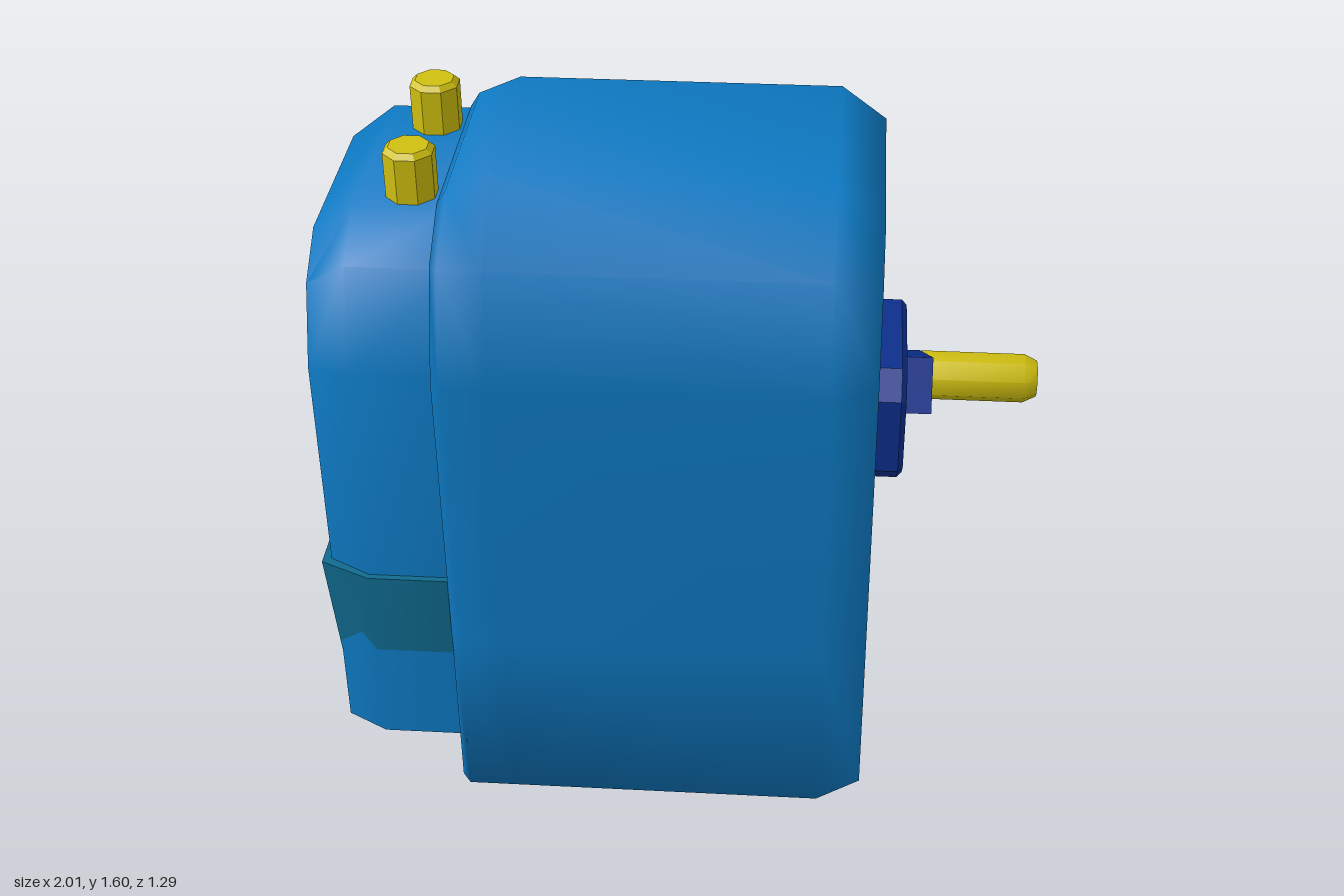
import * as THREE from 'three';
import { toCreasedNormals } from 'three/addons/utils/BufferGeometryUtils.js';

const mat = (name, color) => Object.assign(new THREE.MeshStandardMaterial({ color }), { name });

// Closed solid through rings of equal point count; smooth normals, creased if asked
function loft(rings, crease) {
  const n = rings[0].length, pos = rings.flat(), idx = [];
  const last = rings.length - 1;
  for (let r = 0; r < last; r++)
    for (let i = 0; i < n; i++) {
      const a = r * n + i, b = r * n + (i + 1) % n;
      idx.push(a, b, a + n, b, b + n, a + n);
    }
  for (const r of [0, last]) {
    const c = pos.length;
    pos.push([0, 1, 2].map(k => rings[r].reduce((s, p) => s + p[k], 0) / n));
    for (let i = 0; i < n; i++) {
      const a = r * n + i, b = r * n + (i + 1) % n;
      if (r) idx.push(c, a, b); else idx.push(c, b, a);
    }
  }
  // turn the faces outward
  const v = idx.map(i => new THREE.Vector3(...pos[i]));
  let volume = 0;
  for (let i = 0; i < v.length; i += 3) volume += v[i].dot(v[i + 1].clone().cross(v[i + 2]));
  if (volume < 0) idx.reverse();
  const g = new THREE.BufferGeometry();
  g.setAttribute('position', new THREE.Float32BufferAttribute(pos.flat(), 3));
  g.setIndex(idx);
  g.computeVertexNormals();
  return crease ? toCreasedNormals(g, crease) : g;
}

// Upright arched section at x, given its right half from bottom to top
const arch = (x, zc, half) => [
  ...half.map(([z, y]) => [x, y, zc + z]),
  ...[...half].reverse().map(([z, y]) => [x, y, zc - z]),
];

// Level section of the shavings bin at height y, shrunk by d
const tray = (y, d) => [
  [-0.58, 0.465 - d], [-0.78, 0.465 - d], [-0.9 + d, 0.41 - d],
  [-0.9 + d, -0.41 + d], [-0.78, -0.465 + d], [-0.58, -0.465 + d],
].map(([x, z]) => [x, y, 0.075 + z]);

// Rectangle with cut corners, extruded along x from x0
function plate(w, h, cut, depth, bevel) {
  const x = w / 2 - bevel, y = h / 2 - bevel;
  const s = new THREE.Shape([
    [x, -y + cut], [x, y - cut], [x - cut, y], [-x + cut, y],
    [-x, y - cut], [-x, -y + cut], [-x + cut, -y], [x - cut, -y],
  ].map(p => new THREE.Vector2(...p)));
  return new THREE.ExtrudeGeometry(s, {
    depth: depth - bevel, bevelEnabled: bevel > 0, bevelThickness: bevel, bevelSize: bevel, bevelSegments: 1,
  }).rotateY(Math.PI / 2);
}

export function createModel() {
  const blue = mat('body blue', 0x0d79c2);
  const navy = mat('dark blue', 0x0d2f8c);
  const teal = mat('bin teal', 0x0f6a8e);
  const yellow = mat('yellow', 0xcfbf10);

  const model = new THREE.Group();
  model.name = 'crankSharpener';
  const body = new THREE.Group();
  body.name = 'sharpener';
  body.rotation.y = -0.384;
  model.add(body);
  const add = (name, geometry, material, x = 0, y = 0, z = 0) => {
    const m = new THREE.Mesh(geometry, material);
    m.name = name;
    m.position.set(x, y, z);
    body.add(m);
    return m;
  };

  // Main housing, bevelled towards both ends
  const full = [[0.485, 0], [0.485, 0.45], [0.485, 1.17], [0.415, 1.43], [0.24, 1.575]];
  const seam = [[0.455, 0], [0.455, 0.45], [0.455, 1.17], [0.37, 1.41], [0.24, 1.495]];
  const seamMid = [[0.485, 0], [0.485, 0.45], [0.485, 1.17], [0.405, 1.42], [0.24, 1.53]];
  const crankEnd = [[0.415, 0], [0.415, 0.45], [0.415, 1.17], [0.35, 1.38], [0.25, 1.49]];
  add('mainHousing', loft([
    arch(-0.592, 0.085, seam), arch(-0.57, 0.085, seamMid), arch(-0.47, 0.085, full),
    arch(0.285, 0.085, full), arch(0.39, 0.085, crankEnd),
  ]), blue);

  // Sharpening end behind the seam
  const rear = [[0.45, 0.12], [0.45, 0.6], [0.45, 1.17], [0.37, 1.4], [0.25, 1.48]];
  const rearEnd = [[0.395, 0.12], [0.395, 0.6], [0.395, 1.15], [0.33, 1.33], [0.22, 1.41]];
  add('rearHousing', loft([
    arch(-0.56, 0.075, rear), arch(-0.78, 0.075, rear), arch(-0.88, 0.075, rearEnd),
  ], 0.9), blue);
  add('pencilHole', new THREE.CylinderGeometry(0.055, 0.055, 0.008, 20).rotateZ(Math.PI / 2), blue, -0.88, 1.09, 0.19);

  // Shavings bin and its base
  add('shavingsBin', loft([tray(0.15, 0.03), tray(0.61, 0)], 0.9), teal);
  add('binBase', loft([tray(0.04, 0.12), tray(0.08, 0.065), tray(0.15, 0.03)], 0.9), navy);

  // Top buttons
  for (const side of [-1, 1]) {
    const button = plate(0.11, 0.11, 0.025, 0.16, 0.012).rotateZ(Math.PI / 2);
    add('topButton', button, yellow, -0.66, 1.44, 0.083 + side * 0.167);
  }

  // Crank: mounting plate, arm and handle
  add('crankPlate', plate(0.42, 0.31, 0.05, 0.08, 0.012), navy, 0.38, 0.895, 0.08);
  const from = new THREE.Vector2(0.12, 0.93), to = new THREE.Vector2(-0.58, 0.5);
  const along = to.clone().sub(from), mid = from.clone().add(to).multiplyScalar(0.5);
  const arm = add('crankArm', new THREE.BoxGeometry(0.07, 0.135, along.length()), navy, 0.49, mid.y, mid.x);
  arm.rotation.x = Math.atan2(-along.y, along.x);
  const profile = [[0, 0], [0.062, 0], [0.067, 0.02], [0.067, 0.3], [0.05, 0.335], [0, 0.335]];
  const handle = new THREE.LatheGeometry(profile.map(p => new THREE.Vector2(...p)), 8)
    .rotateY(Math.PI / 8).rotateZ(-Math.PI / 2);
  add('crankHandle', toCreasedNormals(handle, 0.8), yellow, 0.505, 0.535, -0.528);

  return model;
}
